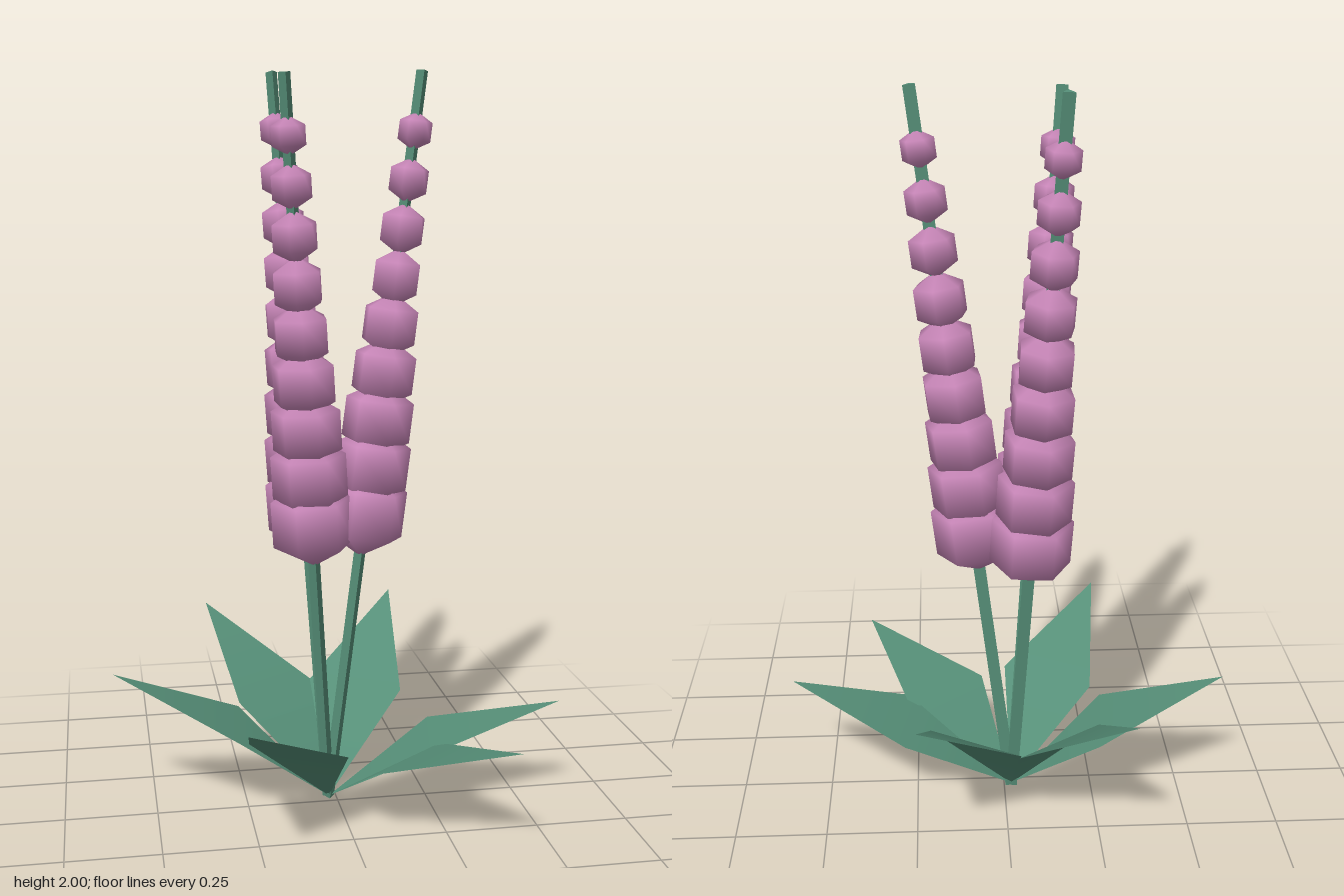
import * as THREE from 'three';

export function createModel() {
  const model = new THREE.Group();
  model.name = 'floweringPlant';

  const green = new THREE.MeshStandardMaterial({ color: 0x568f78, side: THREE.DoubleSide });
  green.name = 'leafGreen';
  const pink = new THREE.MeshStandardMaterial({ color: 0xc987b9 });
  pink.name = 'blossomPink';

  const root = new THREE.Vector3(-0.02, 0.005, -0.03);
  const up = new THREE.Vector3(0, 1, 0);

  // Bent kite-shaped leaf: pointed base, wide middle raised above the axis, pointed tip
  const leafGeometry = new THREE.BufferGeometry();
  leafGeometry.setAttribute('position', new THREE.Float32BufferAttribute([
    0, 0, 0, 0.33, 0.052, 0.14, 0.33, 0.052, -0.14, 0.7, 0, 0,
  ], 3));
  leafGeometry.setIndex([0, 1, 2, 1, 3, 2]);
  leafGeometry.computeVertexNormals();

  // Leaves: [heading from +x toward +z, pitch], in degrees
  const leaves = [[11, 24], [49.5, 24.5], [118.8, 34], [185.8, 32], [235.6, 40], [300, 41]];
  for (const [heading, pitch] of leaves) {
    const leaf = new THREE.Mesh(leafGeometry, green);
    leaf.name = 'leaf';
    leaf.position.copy(root);
    leaf.rotation.set(0, -THREE.MathUtils.degToRad(heading), THREE.MathUtils.degToRad(pitch), 'YXZ');
    model.add(leaf);
  }

  // Flower spikes: a straight three-sided stem threaded with shrinking blossoms
  const tips = [[0.23, 1.99, -0.03], [-0.153, 1.97, 0.115], [-0.135, 2.0, -0.275]];
  const beadGeometry = new THREE.SphereGeometry(1, 6, 3);
  const beadCount = 9;
  for (const tip of tips) {
    const axis = new THREE.Vector3(...tip).sub(root);
    const length = axis.length();
    const spike = new THREE.Group();
    spike.name = 'flowerSpike';
    spike.position.copy(root);
    spike.quaternion.setFromUnitVectors(up, axis.normalize());

    const stemGeometry = new THREE.CylinderGeometry(0.018, 0.019, length, 3).toNonIndexed();
    stemGeometry.computeVertexNormals();
    const stem = new THREE.Mesh(stemGeometry, green);
    stem.name = 'stem';
    stem.position.y = length / 2;
    spike.add(stem);

    for (let i = 0; i < beadCount; i++) {
      const t = i / (beadCount - 1);
      const bead = new THREE.Mesh(beadGeometry, pink);
      bead.name = 'blossom';
      bead.position.y = length * THREE.MathUtils.lerp(0.411, 0.922, t);
      bead.scale.setScalar(THREE.MathUtils.lerp(0.125, 0.05, t));
      bead.rotation.y = i * 0.9;
      spike.add(bead);
    }
    model.add(spike);
  }

  return model;
}
